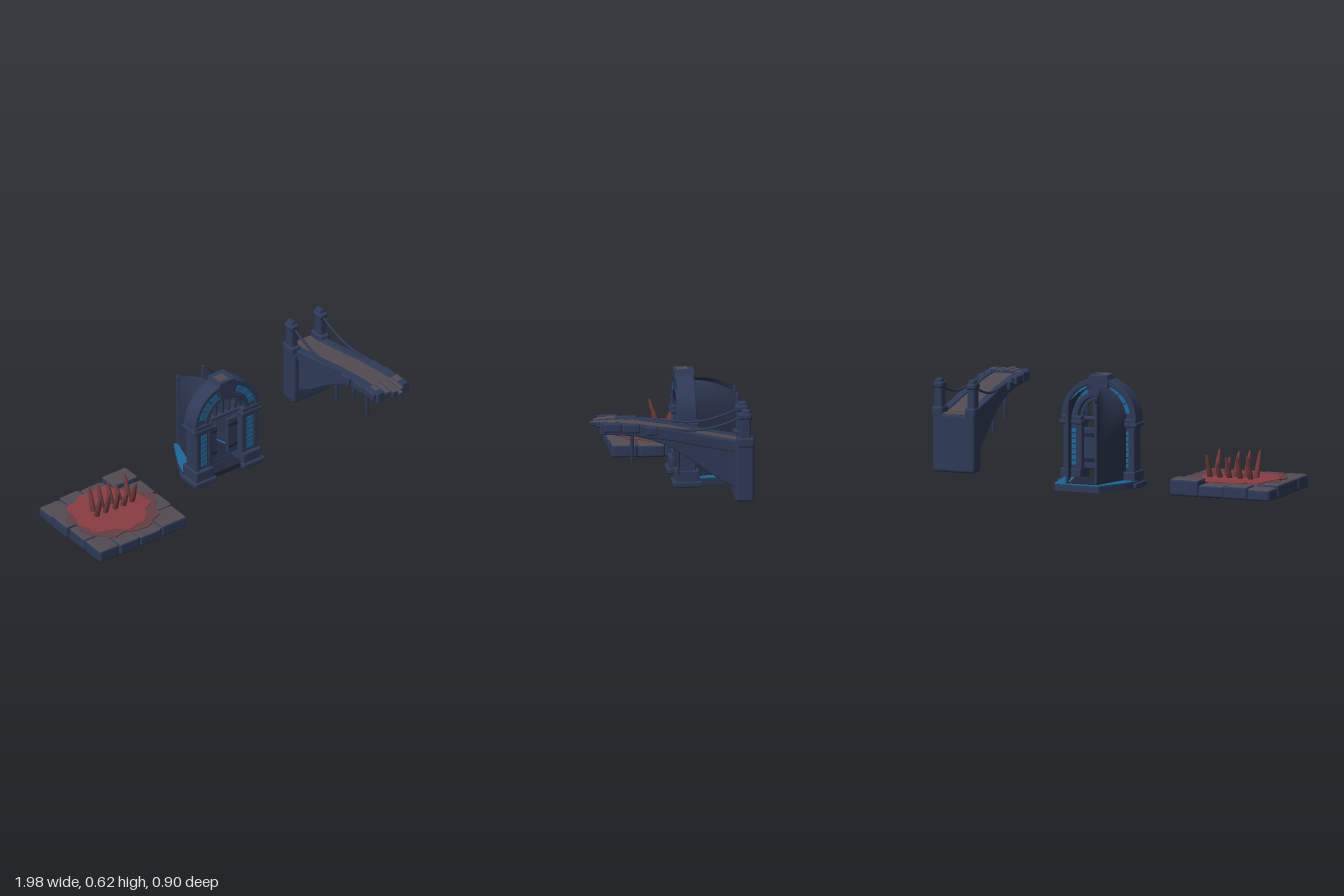
import * as THREE from 'three';
import { RoundedBoxGeometry } from 'three/addons/geometries/RoundedBoxGeometry.js';

const mat = (name, color, side = THREE.FrontSide) => {
  const m = new THREE.MeshStandardMaterial({ color, side });
  m.name = name;
  return m;
};
const V = (x, y, z) => new THREE.Vector3(x, y, z);

export function createModel() {
  const navy = mat('navy stone', 0x2f3a57);
  const leafMat = mat('navy door', 0x2b344d, THREE.DoubleSide);
  const dark = mat('dark stone', 0x20273a);
  const grey = mat('worn grey', 0x534b52);
  const red = mat('red', 0x8a3d43);
  const stain = mat('red stain', 0x633f45);
  const spikeMat = mat('rusty spike', 0x6e3a3c);
  const blue = mat('glowing blue', 0x1f6798);
  const worn = [navy, navy, grey, navy, navy, navy]; // grey top, navy sides

  let seed = 7;
  const rnd = (a, b) => {
    seed = (seed * 16807) % 2147483647;
    return a + (b - a) * (seed / 2147483647);
  };
  const group = (name, parent) => {
    const g = new THREE.Group();
    g.name = name;
    if (parent) parent.add(g);
    return g;
  };
  const add = (parent, name, geo, m) => {
    const mesh = new THREE.Mesh(geo, m);
    mesh.name = name;
    parent.add(mesh);
    return mesh;
  };
  // Softened block given by its min and max corners
  const block = (parent, name, m, x0, x1, y0, y1, z0, z1, r = 0.008) => {
    const w = x1 - x0, h = y1 - y0, d = z1 - z0;
    const geo = new RoundedBoxGeometry(w, h, d, 2, Math.min(r, w / 2.1, h / 2.1, d / 2.1));
    const b = add(parent, name, geo, m);
    b.position.set((x0 + x1) / 2, (y0 + y1) / 2, (z0 + z1) / 2);
    return b;
  };
  // Side profile in (z, y), extruded across x0..x1
  const sideProfile = (parent, name, m, pts, x0, x1, bevel = 0) => {
    const s = new THREE.Shape(pts.map(([z, y]) => new THREE.Vector2(z, y)));
    const geo = new THREE.ExtrudeGeometry(s, {
      depth: x1 - x0 - 2 * bevel, bevelEnabled: bevel > 0, bevelSize: bevel, bevelThickness: bevel,
      bevelOffset: -bevel, bevelSegments: 2,
    });
    const mesh = add(parent, name, geo.rotateY(-Math.PI / 2), m);
    mesh.position.x = x1 - bevel;
    return mesh;
  };
  const model = group('dungeonSet');

  // ---------- Spike trap ----------
  const trap = group('spikeTrap', model);
  block(trap, 'trapBase', [navy, navy, grey, dark, navy, navy], -0.97, -0.4, 0.005, 0.068, -0.36, 0.19);
  const xs = [-0.985, -0.85, -0.71, -0.56, -0.385];
  const zs = [-0.375, -0.25, -0.1, 0.05, 0.2];
  for (let i = 0; i < 4; i++) for (let j = 0; j < 4; j++) {
    if (i % 3 && j % 3) continue;
    const corner = i % 3 === 0 && j % 3 === 0;
    const top = i === 3 && j === 0 ? 0.1 : rnd(0.07, 0.084);
    const k = corner ? 0 : rnd(-0.012, 0.012);
    const s = block(trap, 'rimStone', worn,
      xs[i] + 0.003 + (i === 0 ? k : 0), xs[i + 1] - 0.003 + (i === 3 ? k : 0), 0.006, top,
      zs[j] + 0.003 + (j === 0 ? k : 0), zs[j + 1] - 0.003 + (j === 3 ? k : 0), 0.014);
    s.rotation.y = corner ? 0 : rnd(-0.04, 0.04);
  }
  // Ragged puddles
  const puddle = (name, m, cx, cz, rx, rz, y, ph) => {
    const pts = [];
    for (let i = 0; i < 48; i++) {
      const a = (i / 48) * Math.PI * 2;
      const r = 1 + 0.05 * Math.sin(5 * a + ph) + 0.045 * Math.sin(9 * a + 2 * ph) + 0.03 * Math.sin(14 * a);
      pts.push(new THREE.Vector2(Math.cos(a) * rx * r, Math.sin(a) * rz * r));
    }
    const geo = new THREE.ExtrudeGeometry(new THREE.Shape(pts), { depth: 0.006, bevelEnabled: false });
    add(trap, name, geo.rotateX(-Math.PI / 2), m).position.set(cx, y, cz);
  };
  puddle('stain', stain, -0.69, -0.07, 0.26, 0.22, 0.08, 1);
  puddle('pool', red, -0.7, -0.1, 0.22, 0.21, 0.083, 2.3);
  // Two rows of spikes leaning apart
  const spike = (x, z, h, lx, lz) => {
    const tip = V(x + lx, h, z + lz), foot = V(x, 0.07, z), dir = tip.clone().sub(foot);
    const prof = [[0, 0], [0.017, 0], [0.015, 0.45], [0.01, 0.8], [0.006, 0.96], [0, 1]]
      .map(([r, t]) => new THREE.Vector2(r, t * dir.length()));
    const s = add(trap, 'spike', new THREE.LatheGeometry(prof, 7), spikeMat);
    s.position.copy(foot);
    s.quaternion.setFromUnitVectors(V(0, 1, 0), dir.normalize());
  };
  [-0.79, -0.73, -0.665, -0.61, -0.55].forEach((x, i) => {
    const h = [0.24, 0.235, 0.225, 0.19, 0.232][i];
    spike(x, -0.1, h, -0.005, 0.05);
    spike(x + 0.012, -0.14, h - 0.015, 0.005, -0.05);
  });

  // ---------- Arched gate ----------
  const gate = group('gate', model);
  gate.position.x = 0.105;
  for (const s of [-1, 1]) {
    const side = group(s < 0 ? 'rightColumn' : 'leftColumn', gate);
    const part = (name, a, b, y0, y1, z0, z1) =>
      block(side, name, navy, Math.min(s * a, s * b), Math.max(s * a, s * b), y0, y1, z0, z1);
    part('plinth', 0.09, 0.237, 0.003, 0.035, -0.228, -0.068);
    part('pedestal', 0.1, 0.222, 0.03, 0.095, -0.215, -0.082);
    part('shaft', 0.105, 0.205, 0.09, 0.35, -0.19, -0.105);
    part('outerPilaster', 0.182, 0.212, 0.09, 0.35, -0.196, -0.1);
    part('innerPilaster', 0.1, 0.13, 0.09, 0.35, -0.196, -0.1);
    part('capital', 0.095, 0.23, 0.34, 0.365, -0.212, -0.088);
    part('capitalTop', 0.1, 0.222, 0.36, 0.388, -0.206, -0.094);
    // Blue tiles on both faces of the shaft
    for (let i = 0; i < 7; i++) for (const z of [-0.104, -0.191]) {
      add(side, 'blueTile', new THREE.BoxGeometry(0.04, 0.022, 0.006), blue)
        .position.set(s * 0.156, 0.125 + i * 0.03, z);
    }
    // Open half-height door
    block(side, 'doorPanel', navy, Math.min(s * 0.035, s * 0.105) , Math.max(s * 0.035, s * 0.105),
      0.09, s < 0 ? 0.31 : 0.32, -0.165, -0.145);
    for (const y of [0.13, 0.27]) {
      block(side, 'doorBand', dark, Math.min(s * 0.04, s * 0.1), Math.max(s * 0.04, s * 0.1), y, y + 0.02, -0.17, -0.14, 0.003);
    }
  }
  const ring = (parent, name, m, r0, r1, a0, a1, z0, z1, bevel) => {
    const sh = new THREE.Shape();
    sh.absarc(0, 0, r1, a0, a1, false);
    sh.absarc(0, 0, r0, a1, a0, true);
    const geo = new THREE.ExtrudeGeometry(sh, {
      depth: z1 - z0 - 2 * bevel, curveSegments: 24, bevelEnabled: bevel > 0, bevelSize: bevel,
      bevelThickness: bevel, bevelOffset: -bevel, bevelSegments: 1,
    });
    add(parent, name, geo, m).position.set(0, 0.38, z0 + bevel);
  };
  ring(gate, 'arch', navy, 0.132, 0.218, 0, Math.PI, -0.19, -0.106, 0.003);
  ring(gate, 'archOuterTrim', navy, 0.193, 0.222, 0, Math.PI, -0.198, -0.098, 0.004);
  ring(gate, 'archInnerTrim', navy, 0.122, 0.15, 0, Math.PI, -0.198, -0.098, 0.004);
  for (const base of [0.17, 1.95]) for (let i = 0; i < 3; i++) for (const z of [-0.194, -0.108]) {
    const a = base + i * 0.34;
    ring(gate, 'archBlueInlay', blue, 0.153, 0.19, a, a + 0.3, z, z + 0.006, 0);
  }
  // Keystone, wider at the top
  const key = new THREE.Shape([[-0.045, 0.5], [0.045, 0.5], [0.062, 0.59], [0.05, 0.62], [-0.05, 0.62], [-0.062, 0.59]]
    .map(p => new THREE.Vector2(...p)));
  add(gate, 'keystone', new THREE.ExtrudeGeometry(key, {
    depth: 0.1, bevelSize: 0.005, bevelThickness: 0.005, bevelOffset: -0.005, bevelSegments: 2,
  }), navy).position.z = -0.2;
  add(gate, 'keystoneTop', new THREE.BoxGeometry(0.06, 0.004, 0.06), grey).position.set(-0.015, 0.62, -0.14);
  // Lintel and pointed bars under the arch
  block(gate, 'lintel', navy, -0.13, 0.13, 0.36, 0.38, -0.165, -0.13);
  for (let i = -2; i <= 2; i++) {
    const x = i * 0.045;
    const prof = [[0, 0.37], [0.008, 0.37], [0.011, 0.42], [0.009, 0.47], [0.014, 0.49], [0.006, 0.515], [0, 0.52]]
      .map(p => new THREE.Vector2(...p));
    add(gate, 'archBar', new THREE.LatheGeometry(prof, 8), navy).position.set(x, 0, -0.148);
  }
  ring(gate, 'archLiner', navy, 0.105, 0.132, 0, Math.PI, -0.165, -0.13, 0);
  block(gate, 'threshold', dark, -0.1, 0.1, 0.005, 0.04, -0.2, -0.1);
  // Floor behind the gate, blue on top
  const floor = (name, m, pts, y, depth) => {
    const sh = new THREE.Shape(pts.map(([x, z]) => new THREE.Vector2(x - 0.105, -z)));
    add(gate, name, new THREE.ExtrudeGeometry(sh, { depth, bevelEnabled: false }).rotateX(-Math.PI / 2), m).position.y = y;
  };
  const outline = [[-0.125, -0.2], [0.3, -0.2], [0.285, -0.3], [0.265, -0.44], [0.17, -0.447], [0, -0.45], [-0.03, -0.4], [-0.09, -0.29]];
  floor('floorSlab', navy, outline, 0.006, 0.036);
  floor('blueFloor', blue, outline, 0.042, 0.006);
  floor('passageFloor', dark, [[-0.03, -0.2], [0.24, -0.2], [0.185, -0.435], [0.025, -0.435]], 0.046, 0.005);
  // Great door leaves: arch-shaped at the gate, narrowing to an upright back edge
  for (const s of [-1, 1]) {
    const nu = 18, nv = 8, pos = [], idx = [];
    for (let v = 0; v <= nv; v++) for (let u = 0; u <= nu; u++) {
      const t = v / nv, straight = u <= 6;
      const a = straight ? 0 : ((u - 6) / 12) * 1.47;
      const fx = 0.165 * Math.cos(a), fy = straight ? 0.045 + (u / 6) * 0.345 : 0.39 + 0.172 * Math.sin(a);
      const bx = 0.085, by = 0.045 + (u / nu) * 0.45;
      const y = THREE.MathUtils.lerp(fy, by, t) + 0.02 * Math.sin(Math.PI * t) * (u / nu);
      pos.push(s * THREE.MathUtils.lerp(fx, bx, t), y, -0.185 - 0.255 * t);
    }
    for (let v = 0; v < nv; v++) for (let u = 0; u < nu; u++) {
      const a = v * (nu + 1) + u, b = a + 1, c = a + nu + 1, d = c + 1;
      if (s > 0) idx.push(a, c, b, b, c, d);
      else idx.push(a, b, c, b, d, c);
    }
    const geo = new THREE.BufferGeometry();
    geo.setAttribute('position', new THREE.Float32BufferAttribute(pos, 3));
    geo.setIndex(idx);
    geo.computeVertexNormals();
    add(gate, s < 0 ? 'rightLeaf' : 'leftLeaf', geo, leafMat);
    block(gate, 'leafEdge', navy, s * 0.085 - 0.008, s * 0.085 + 0.008, 0.045, 0.5, -0.447, -0.43, 0.004);
  }

  // ---------- Broken bridge ----------
  const bridge = group('brokenBridge', model);
  const deck = [[0.4, 0.515], [0.2, 0.5], [0, 0.468], [-0.2, 0.425], [-0.37, 0.393]];
  const under = [[-0.37, 0.14], [-0.34, 0.15], [-0.25, 0.2], [-0.18, 0.25], [-0.1, 0.31], [0, 0.375], [0.1, 0.42], [0.22, 0.452], [0.4, 0.485]];
  sideProfile(bridge, 'archBody', navy, [...deck, ...under], 0.775, 0.965, 0.006);
  const strip = (name, m, lo, hi, x0, x1, bevel) => sideProfile(bridge, name, m,
    [...deck.map(([z, y]) => [z, y + hi]), ...[...deck].reverse().map(([z, y]) => [z, y + lo])], x0, x1, bevel);
  strip('path', grey, -0.002, 0.006, 0.805, 0.935, 0);
  strip('kerb', navy, -0.05, 0.014, 0.765, 0.81, 0.006);
  strip('kerb', navy, -0.05, 0.014, 0.93, 0.975, 0.006);
  block(bridge, 'pier', navy, 0.74, 0.99, 0.068, 0.392, -0.45, -0.345, 0.016);
  block(bridge, 'pierTop', grey, 0.8, 0.93, 0.389, 0.397, -0.445, -0.35, 0.003);
  // Uneven broken end
  [[0.775, 0.82, 0.37], [0.815, 0.85, 0.41], [0.845, 0.88, 0.43], [0.875, 0.905, 0.45], [0.9, 0.93, 0.42], [0.925, 0.97, 0.36]]
    .forEach(([x0, x1, z], i) => {
      const p = block(bridge, 'brokenPlank', worn, x0, x1, 0.492 + (i % 2) * 0.006, 0.526 + (i % 3) * 0.004, 0.3, z, 0.01);
      p.rotation.x = 0.04;
    });
  for (const s of [-1, 1]) {
    const x = 0.865 + s * 0.098;
    // Kerb stones near the end, gate post and sagging rope
    for (const [z0, z1, y] of [[0.28, 0.38, 0.51], [0.18, 0.275, 0.503], [0.08, 0.15, 0.487]]) {
      block(bridge, 'kerbStone', navy, x - 0.02, x + 0.02, y - 0.035, y + 0.016, z0, z1, 0.01);
    }
    block(bridge, 'postFoot', navy, x - 0.032, x + 0.032, 0.375, 0.43, -0.45, -0.352, 0.012);
    block(bridge, 'post', navy, x - 0.024, x + 0.024, 0.41, 0.55, -0.432, -0.37, 0.014);
    block(bridge, 'postCap', navy, x - 0.029, x + 0.029, 0.53, 0.568, -0.438, -0.362, 0.014);
    block(bridge, 'postTip', navy, x - 0.02, x + 0.02, 0.55, 0.586, -0.432, -0.38, 0.014);
    const rope = new THREE.CatmullRomCurve3([V(x, 0.505, 0.16), V(x, 0.487, 0.02), V(x, 0.475, -0.1),
      V(x, 0.483, -0.2), V(x, 0.51, -0.3), V(x, 0.545, -0.385)]);
    add(bridge, 'rope', new THREE.TubeGeometry(rope, 28, 0.007, 7), navy);
  }
  // Hanging spikes below the deck
  for (const [x, z, top, bottom] of [[0.83, 0.21, 0.46, 0.265], [0.92, -0.035, 0.39, 0.21], [0.8, -0.03, 0.39, 0.23]]) {
    const h = top - bottom;
    const prof = [[0, 0], [0.007, 0.02 * h], [0.01, 0.4 * h], [0.011, 0.8 * h], [0.015, h]].map(p => new THREE.Vector2(...p));
    add(bridge, 'hangingSpike', new THREE.LatheGeometry(prof, 8), navy).position.set(x, bottom, z);
  }
  return model;
}
